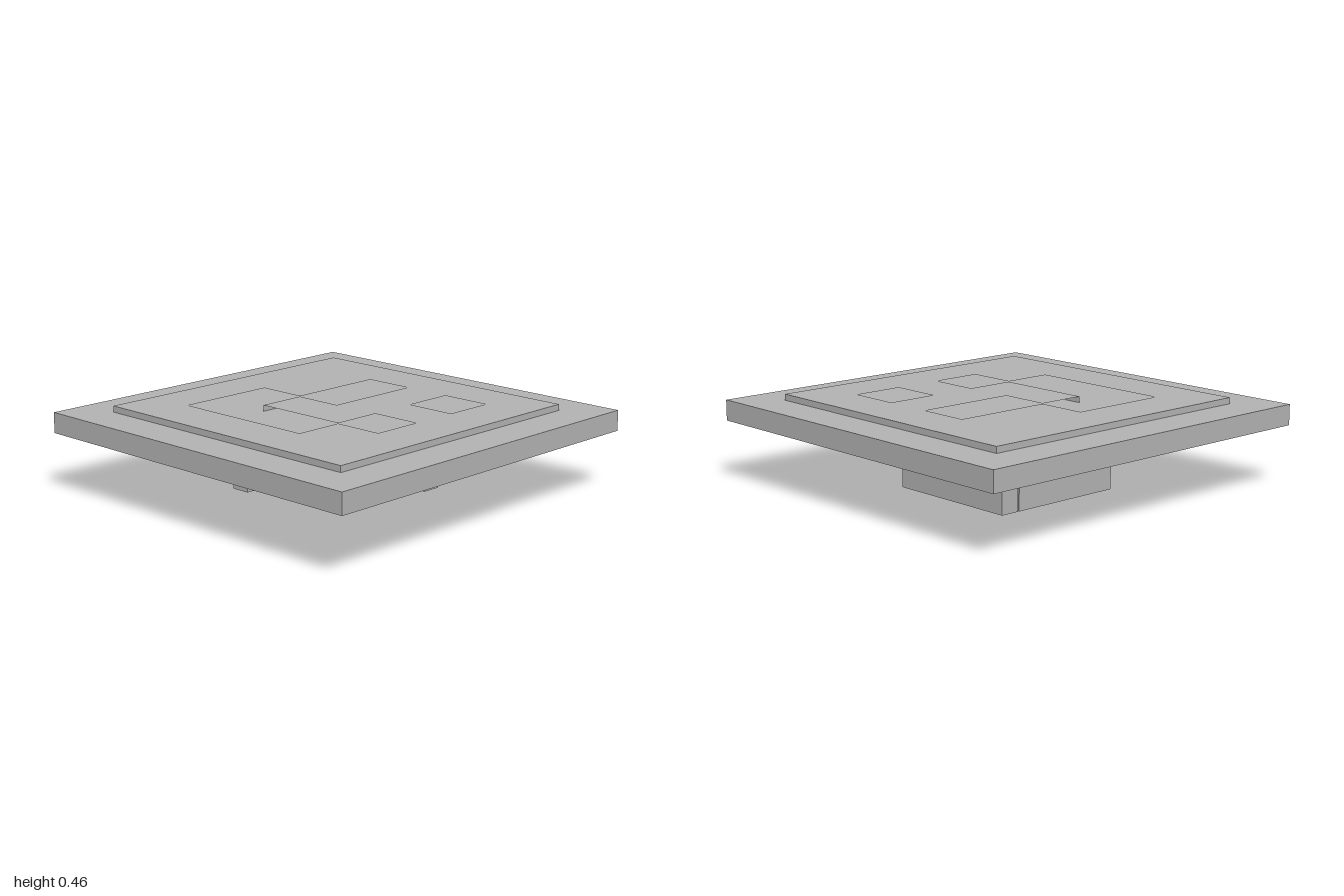
import * as THREE from 'three';

export function createModel() {
  const model = new THREE.Group();
  const grey = new THREE.MeshStandardMaterial({ color: 0xb2b2b2 });
  grey.name = 'plain grey';

  const add = (name, geometry) => {
    const mesh = new THREE.Mesh(geometry, grey);
    mesh.name = name;
    model.add(mesh);
  };

  // Box given by its lower and upper corners
  const box = (name, [x0, y0, z0], [x1, y1, z1]) => {
    const g = new THREE.BoxGeometry(x1 - x0, y1 - y0, z1 - z0);
    g.translate((x0 + x1) / 2, (y0 + y1) / 2, (z0 + z1) / 2);
    add(name, g);
  };

  // Outline in plan (x, z); shape y becomes -z once laid flat
  const plan = points => points.map(([x, z]) => new THREE.Vector2(x, -z));
  const rect = (x0, z0, x1, z1) => [[x0, z0], [x1, z0], [x1, z1], [x0, z1]];

  const baseY = 0.318, plateY = 0.425, topY = 0.457;

  // Square base plate
  box('basePlate', [-1, baseY, -1], [1, plateY, 1]);

  // Raised panel with sunken pattern: one stepped recess and one lone square
  const panel = new THREE.Shape(plan(rect(-0.789, -0.789, 0.789, 0.789)));
  const steppedRecess = [
    [-0.265, -0.53], [0, -0.53], [0, 0], [-0.262, 0],
    [-0.262, 0.257], [0.26, 0.257], [0.26, -0.004], [0.526, -0.004],
    [0.526, 0.262], [0.263, 0.262], [0.263, 0.523], [-0.528, 0.523],
    [-0.528, -0.004], [-0.265, -0.004],
  ];
  const squareRecess = rect(0.26, -0.53, 0.526, -0.264);
  for (const outline of [steppedRecess, squareRecess]) {
    panel.holes.push(new THREE.Path(plan(outline)));
  }
  const panelGeometry = new THREE.ExtrudeGeometry(panel, { depth: topY - plateY, bevelEnabled: false });
  panelGeometry.rotateX(-Math.PI / 2);
  panelGeometry.translate(0, plateY, 0);
  add('raisedPanel', panelGeometry);

  // Two bars underneath, forming an L with a hairline gap at the corner
  box('backFootBar', [-0.429, 0, -0.424], [0.311, baseY, -0.321]);
  box('sideFootBar', [-0.429, 0, -0.313], [-0.325, baseY, 0.315]);

  return model;
}
